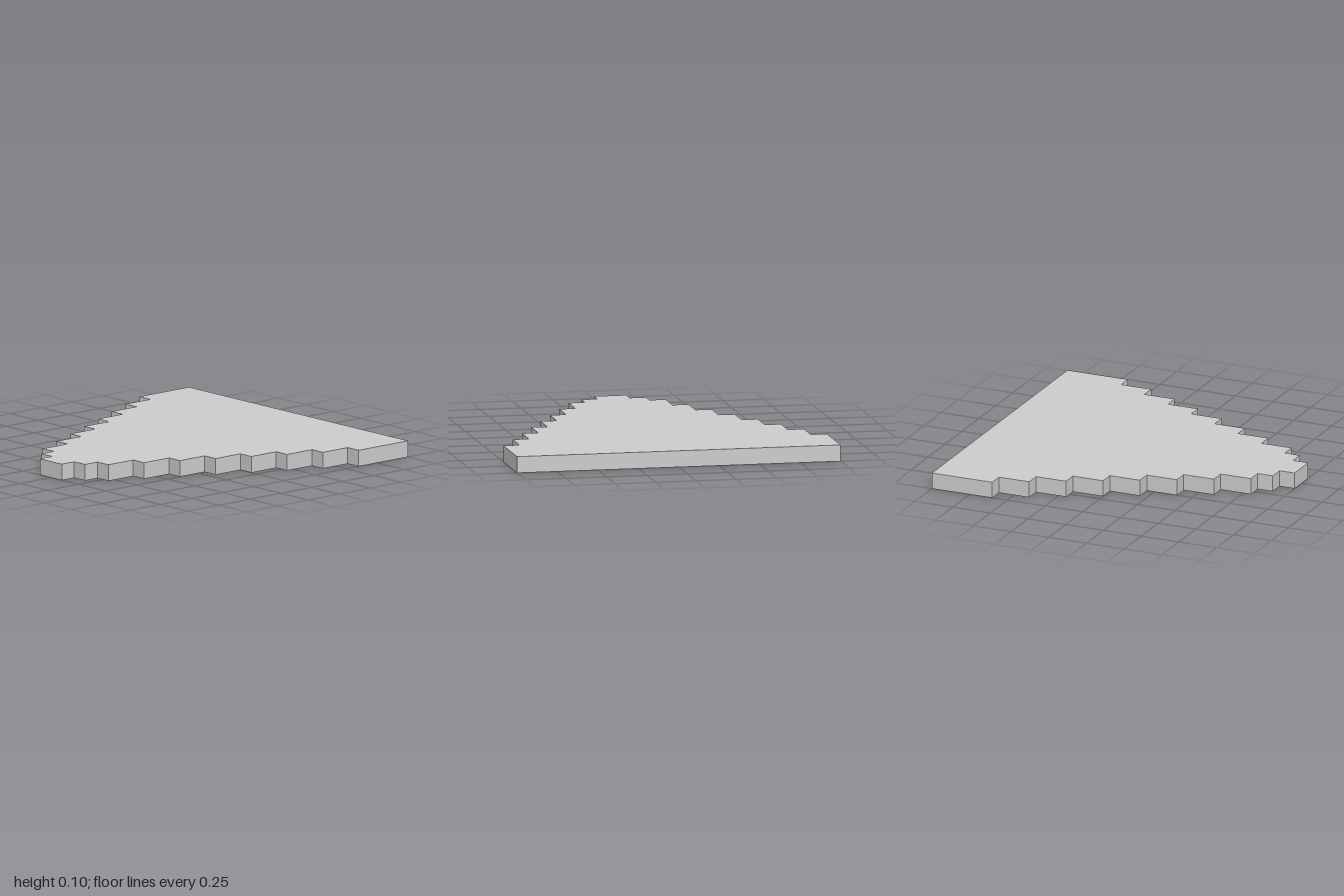
import * as THREE from 'three';

const THICKNESS = 0.1;

// Front edge (z) of each step; the half width shrinks by 0.1 per step
const STEP_ENDS = [-0.6, -0.4, -0.2, 0, 0.2, 0.4, 0.6, 0.8, 0.9, 1];

export function createModel() {
  const group = new THREE.Group();
  group.name = 'steppedSlab';

  // Staircase outline of the left half, from back to front
  const half = [];
  let z = -1;
  STEP_ENDS.forEach((end, i) => {
    const halfWidth = (10 - i) / 10;
    half.push(new THREE.Vector2(halfWidth, z), new THREE.Vector2(halfWidth, end));
    z = end;
  });

  // Mirror it for the right half
  const mirrored = half.map((p) => new THREE.Vector2(-p.x, p.y)).reverse();
  const outline = new THREE.Shape([...half, ...mirrored]);

  // Extrude, then lay flat on the ground
  const geometry = new THREE.ExtrudeGeometry(outline, { depth: THICKNESS, bevelEnabled: false });
  geometry.rotateX(Math.PI / 2);
  geometry.translate(0, THICKNESS, 0);

  const slab = new THREE.Mesh(
    geometry,
    new THREE.MeshStandardMaterial({ color: 0xcccccc, flatShading: true })
  );
  slab.name = 'slab';
  group.add(slab);
  return group;
}
